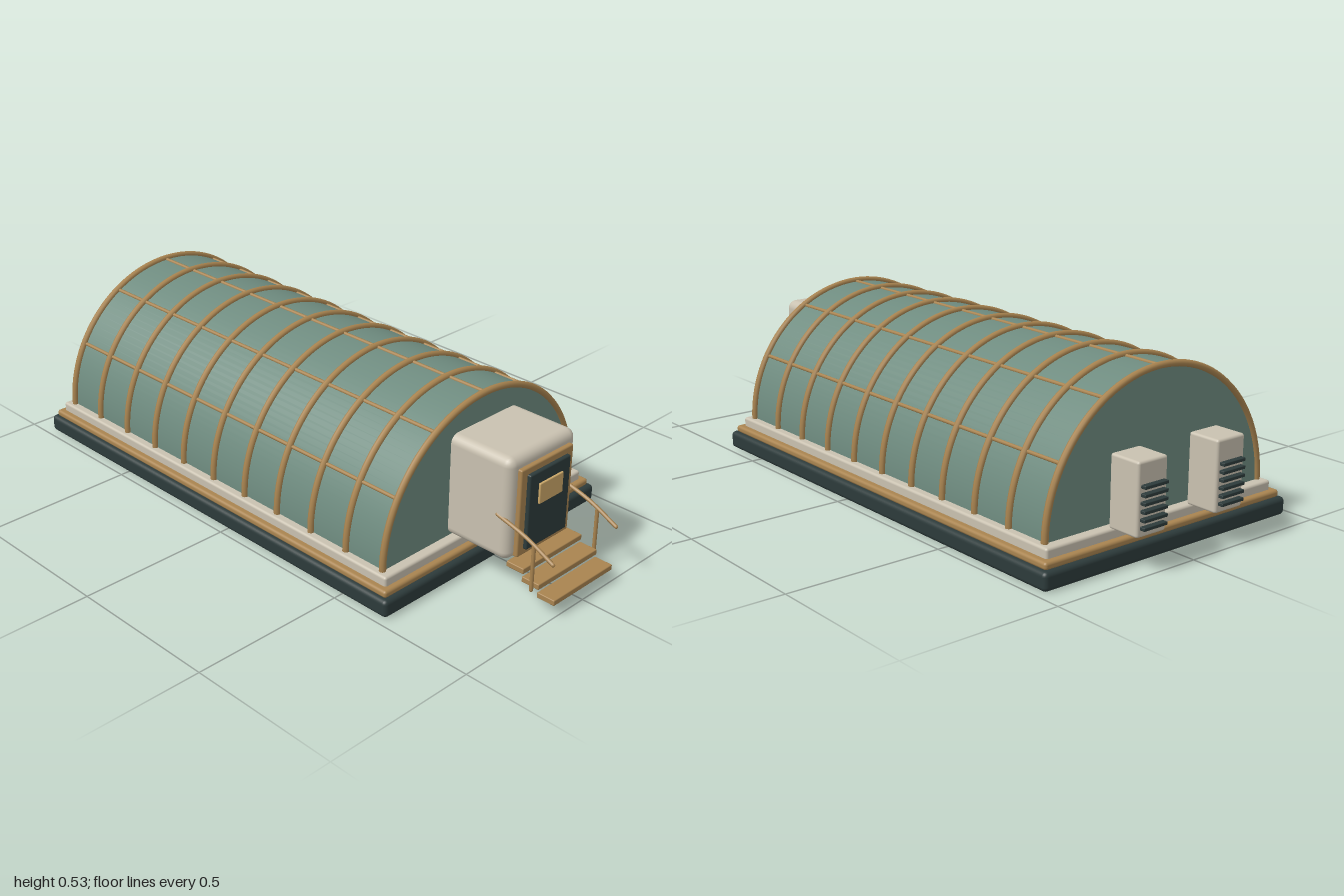
import * as THREE from 'three';
import { RoundedBoxGeometry } from 'three/addons/geometries/RoundedBoxGeometry.js';

const mat = (name, color) => {
  const m = new THREE.MeshStandardMaterial({ color });
  m.name = name;
  return m;
};

export function createModel() {
  const model = new THREE.Group();
  model.name = 'archedShelter';
  const green = mat('sage green', 0x6f8c80);
  const dark = mat('dark slate', 0x2d3b3b);
  const wood = mat('tan wood', 0xa98450);
  const cream = mat('cream', 0xc9c1b0);
  const glow = mat('amber window', 0xcba768);

  const add = (name, geometry, material, parent = model) => {
    const mesh = new THREE.Mesh(geometry, material);
    mesh.name = name;
    parent.add(mesh);
    return mesh;
  };
  // Rounded box given by its limits on each axis
  const box = (name, material, [x0, x1], [y0, y1], [z0, z1], r, parent) => {
    const g = new RoundedBoxGeometry(x1 - x0, y1 - y0, z1 - z0, 3, r);
    g.translate((x0 + x1) / 2, (y0 + y1) / 2, (z0 + z1) / 2);
    return add(name, g, material, parent);
  };
  const tube = (name, points, r, parent) => {
    const curve = new THREE.CatmullRomCurve3(points.map(p => new THREE.Vector3(...p)));
    const g = new THREE.TubeGeometry(curve, 16, r, 8);
    add(name, g, wood, parent);
    // Rounded ends
    [points[0], points[points.length - 1]].forEach(p => {
      add(name + 'End', new THREE.SphereGeometry(r, 8, 6), wood, parent).position.set(...p);
    });
  };

  // Stepped foundation
  box('foundation', dark, [-0.922, 0.678], [0, 0.056], [-0.475, 0.475], 0.014);
  box('foundationTrim', wood, [-0.907, 0.663], [0.054, 0.077], [-0.461, 0.461], 0.009);
  box('floorSlab', cream, [-0.888, 0.644], [0.07, 0.106], [-0.441, 0.441], 0.008);

  // Half-cylinder shell with flat end walls
  const x0 = -0.856, x1 = 0.612, mid = (x0 + x1) / 2, baseY = 0.106, R = 0.415;
  const shell = new THREE.CylinderGeometry(R, R, x1 - x0, 64, 1, false, 0, Math.PI);
  shell.rotateZ(Math.PI / 2);
  add('shell', shell, green).position.set(mid, baseY, 0);

  // Arched ribs
  const ribs = new THREE.Group();
  ribs.name = 'ribs';
  model.add(ribs);
  for (let i = 0; i <= 10; i++) {
    const rib = add('rib', new THREE.TorusGeometry(R + 0.003, 0.0105, 8, 56, Math.PI), wood, ribs);
    rib.rotation.y = Math.PI / 2;
    rib.position.set(x0 + 0.002 + (x1 - x0 - 0.004) * i / 10, baseY, 0);
  }

  // Lengthwise purlins
  for (const deg of [30, 60, 90, 120, 150]) {
    const a = deg * Math.PI / 180;
    const g = new THREE.CylinderGeometry(0.006, 0.006, x1 - x0, 8);
    g.rotateZ(Math.PI / 2);
    add('purlin', g, wood).position.set(mid, baseY + Math.sin(a) * R, Math.cos(a) * R);
  }

  // Entrance porch with door
  const porch = new THREE.Group();
  porch.name = 'entrance';
  model.add(porch);
  box('porchBody', cream, [0.585, 0.832], [0.108, 0.437], [-0.147, 0.147], 0.028, porch);
  box('doorFrame', wood, [0.815, 0.846], [0.12, 0.402], [-0.115, 0.115], 0.005, porch);
  box('door', dark, [0.825, 0.858], [0.14, 0.381], [-0.09, 0.09], 0.005, porch);
  box('doorWindow', glow, [0.857, 0.865], [0.278, 0.344], [-0.052, 0.052], 0.003, porch);

  // Steps and handrails
  const stairs = new THREE.Group();
  stairs.name = 'stairs';
  model.add(stairs);
  for (let i = 0; i < 3; i++) {
    const x = 0.824 + i * 0.057, y = 0.092 - i * 0.026;
    box('step', wood, [x, x + 0.062], [y, y + 0.018], [-0.134, 0.134], 0.003, stairs);
  }
  for (const side of [-1, 1]) {
    const z = side * 0.144;
    tube('handrail', [[0.79, 0.254, z], [0.9, 0.222, z], [0.994, 0.178, z]], 0.006, stairs);
    tube('railPost', [[0.925, 0.064, z], [0.925, 0.21, z]], 0.006, stairs);
  }

  // Climate units with louvres at the far end
  for (const side of [-1, 1]) {
    const unit = new THREE.Group();
    unit.name = 'climateUnit';
    unit.position.z = side * 0.152;
    model.add(unit);
    box('unitBody', cream, [-0.983, -0.875], [0.105, 0.32], [-0.055, 0.055], 0.008, unit);
    for (let i = 0; i < 6; i++) {
      const y = 0.133 + i * 0.0235;
      box('louvre', dark, [-1, -0.978], [y - 0.005, y + 0.005], [-0.044, 0.044], 0.002, unit);
    }
  }
  return model;
}
